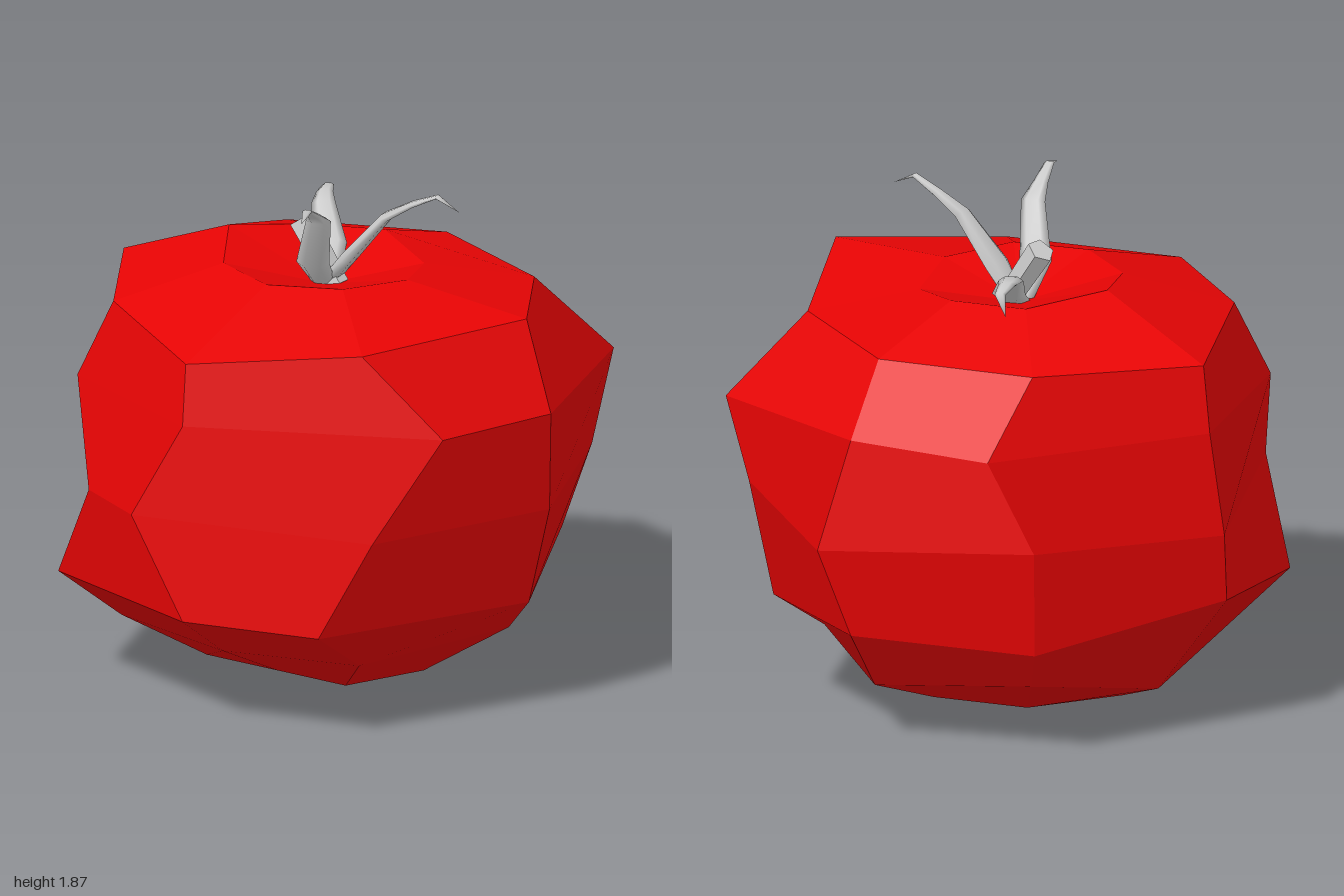
import * as THREE from 'three';

const SEG = 8, CX = -0.09, CZ = -0.01;

// Joins closed loops (counter-clockwise seen from the end) and two end points into one skin.
// The quads come first in the index, then the two end caps.
function skin(loops, start, end) {
  const n = loops[0].length, last = loops.length - 1, index = [];
  const points = [start, ...loops.flat(), end];
  const at = (r, s) => 1 + r * n + (s % n);
  for (let r = 0; r < last; r++) {
    for (let s = 0; s < n; s++) {
      const a = at(r, s), b = at(r, s + 1), c = at(r + 1, s + 1), d = at(r + 1, s);
      index.push(a, b, c, a, c, d);
    }
  }
  for (let s = 0; s < n; s++) {
    index.push(0, at(0, s + 1), at(0, s));
    index.push(at(last, s), at(last, s + 1), points.length - 1);
  }
  const g = new THREE.BufferGeometry().setFromPoints(points);
  g.setIndex(index);
  g.computeVertexNormals();
  return g;
}

// Fruit: height and eight radii per ring, starting at +x and turning
// counter-clockwise seen from above (+x, back, -x, front).
function fruitGeometry() {
  const rings = [
    [0.08, 0.46, 0.46, 0.49, 0.43, 0.30, 0.42, 0.43, 0.44],
    [0.25, 0.78, 0.72, 0.69, 0.74, 0.64, 0.70, 0.69, 0.70],
    [0.43, 0.91, 0.905, 0.92, 0.97, 0.89, 0.90, 0.89, 0.90],
    [0.80, 1.09, 0.865, 0.98, 0.88, 0.91, 0.97, 0.98, 0.97],
    [1.17, 0.91, 0.92, 0.91, 0.90, 0.89, 0.92, 1.00, 1.07],
    [1.44, 0.76, 0.77, 0.88, 0.77, 0.87, 0.76, 0.88, 0.76],
    [1.56, 0.37, 0.37, 0.42, 0.37, 0.37, 0.36, 0.36, 0.36],
  ];
  const loops = rings.map(([y, ...radii]) => radii.map((r, s) => {
    const a = s / SEG * Math.PI * 2;
    return new THREE.Vector3(CX + r * Math.cos(a), y, CZ - r * Math.sin(a));
  }));
  // uneven bumps: ring, segment, offset
  const bumps = [
    [1, 0, 0, -0.04, 0], [1, 2, 0.03, -0.09, 0], [1, 6, 0.16, 0, 0],
    [2, 2, -0.08, 0.09, 0], [2, 5, -0.13, 0, -0.13], [2, 7, 0.12, 0, -0.13],
    [3, 3, -0.15, 0, 0.13], [3, 4, 0, 0, -0.21],
    [4, 1, 0.12, 0, 0.12], [4, 5, 0.17, 0, 0.2], [4, 6, -0.02, 0, 0], [4, 7, 0.02, -0.03, -0.04],
    [5, 2, 0, -0.02, 0], [5, 4, 0, -0.04, 0], [5, 6, 0, 0.06, 0],
    [6, 2, 0, 0.04, 0], [6, 6, 0, -0.015, 0], [6, 7, 0, -0.045, 0],
  ];
  for (const [r, s, x, y, z] of bumps) loops[r][s].add(new THREE.Vector3(x, y, z));

  // the crown dips in around the stalk
  const g = skin(loops, new THREE.Vector3(CX, 0, CZ), new THREE.Vector3(CX, 1.46, CZ)).toNonIndexed();
  g.computeVertexNormals();
  // both triangles of a quad share one normal, so each facet reads as a single face
  const normal = g.attributes.normal, v = new THREE.Vector3(), w = new THREE.Vector3();
  for (let q = 0; q < (loops.length - 1) * SEG; q++) {
    v.fromBufferAttribute(normal, q * 6).add(w.fromBufferAttribute(normal, q * 6 + 3)).normalize();
    for (let k = 0; k < 6; k++) normal.setXYZ(q * 6 + k, v.x, v.y, v.z);
  }
  return g;
}

// Sepal: flattened, tapering loft along a few points; each is [x, y, z, half width, half thickness].
function sepalGeometry(path) {
  const pts = path.map(p => new THREE.Vector3(p[0], p[1], p[2]));
  const run = pts[pts.length - 1].clone().sub(pts[0]);
  const side = new THREE.Vector3(run.z, 0, -run.x).normalize();
  const loops = pts.slice(0, -1).map((p, i) => {
    const along = pts[i + 1].clone().sub(pts[Math.max(i - 1, 0)]).normalize();
    const up = along.clone().cross(side);
    return Array.from({ length: 6 }, (_, k) => {
      const a = k / 6 * Math.PI * 2;
      return p.clone()
        .addScaledVector(side, Math.cos(a) * path[i][3])
        .addScaledVector(up, Math.sin(a) * path[i][4]);
    });
  });
  return skin(loops, pts[0], pts[pts.length - 1]);
}

export function createModel() {
  const model = new THREE.Group();
  model.name = 'tomato';
  const red = new THREE.MeshStandardMaterial({ color: 0xe60404 });
  const grey = new THREE.MeshStandardMaterial({ color: 0xcccccc });
  const greyFlat = new THREE.MeshStandardMaterial({ color: 0xcccccc, flatShading: true });

  const add = (name, geometry, material) => {
    const mesh = new THREE.Mesh(geometry, material);
    mesh.name = name;
    model.add(mesh);
    return mesh;
  };

  add('fruit', fruitGeometry(), red);

  // short five-sided stalk leaning back
  const stalkShape = new THREE.CylinderGeometry(0.052, 0.045, 0.27, 5).rotateY(Math.PI);
  const stalk = add('stalk', stalkShape, greyFlat);
  stalk.position.set(-0.085, 1.57, -0.04);
  stalk.rotation.x = -0.62;

  // three curling sepals
  add('frontSepal', sepalGeometry([
    [-0.08, 1.47, 0.00, 0.045, 0.025], [-0.08, 1.58, 0.09, 0.068, 0.025],
    [-0.05, 1.75, 0.23, 0.045, 0.018], [-0.03, 1.81, 0.33, 0.028, 0.012],
    [-0.02, 1.855, 0.43, 0.018, 0.007], [-0.01, 1.81, 0.52, 0, 0],
  ]), grey);
  add('rightSepal', sepalGeometry([
    [-0.10, 1.47, -0.01, 0.045, 0.025], [-0.21, 1.58, 0.02, 0.06, 0.025],
    [-0.275, 1.77, 0.09, 0.045, 0.018], [-0.35, 1.815, 0.12, 0.028, 0.012],
    [-0.43, 1.86, 0.15, 0.018, 0.007], [-0.51, 1.84, 0.18, 0, 0],
  ]), grey);
  add('backLeftSepal', sepalGeometry([
    [-0.07, 1.47, -0.02, 0.045, 0.025], [0.07, 1.55, -0.10, 0.06, 0.025],
    [0.17, 1.65, -0.20, 0.045, 0.018], [0.25, 1.665, -0.25, 0.03, 0.012],
    [0.33, 1.66, -0.29, 0.02, 0.008], [0.37, 1.60, -0.35, 0, 0],
  ]), grey);

  return model;
}
